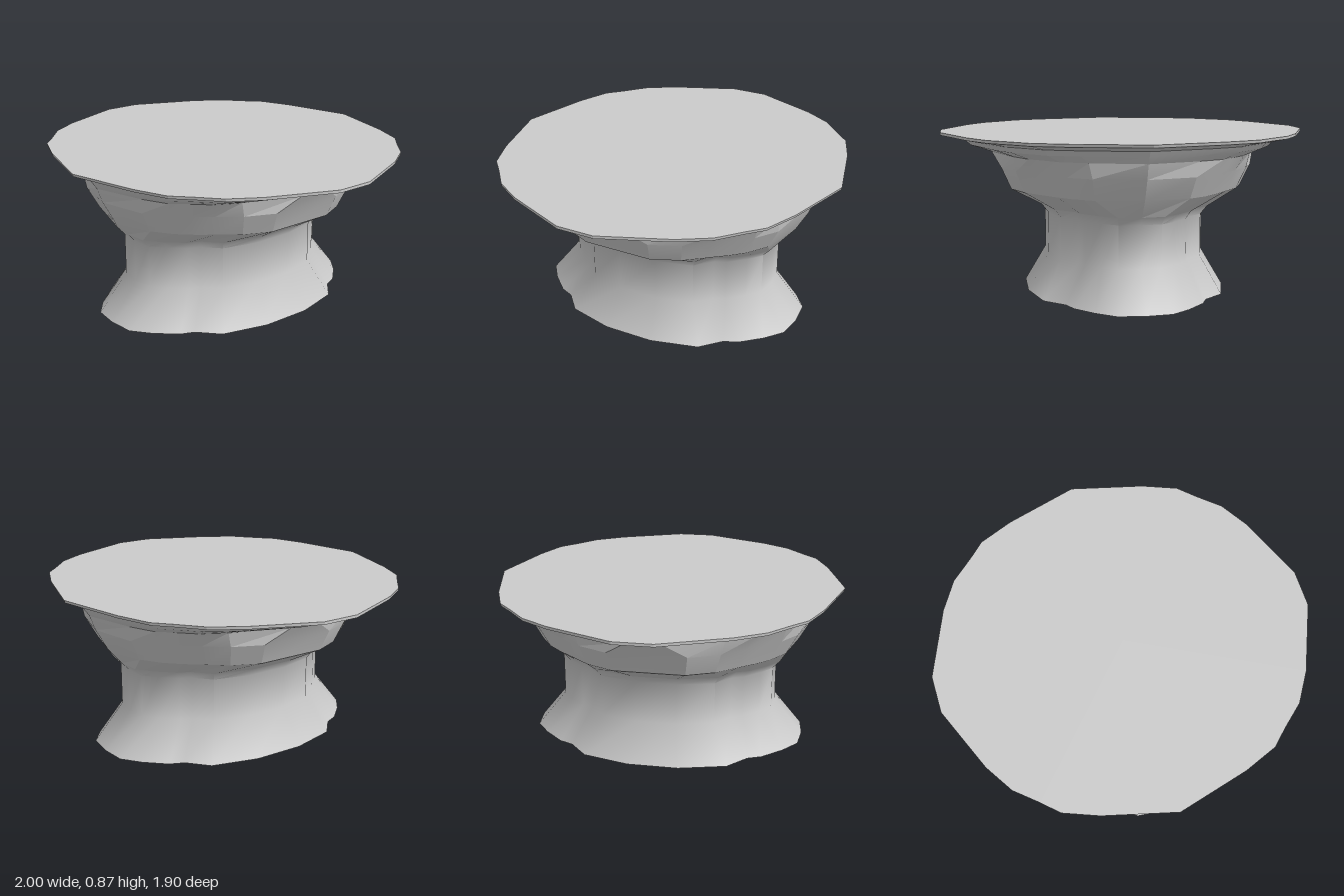
import * as THREE from 'three';
import { toCreasedNormals } from 'three/addons/utils/BufferGeometryUtils.js';

// Quarter outlines from the front (+z) round to the side (+x), as fractions of the half-widths
const NECK = [[0, 1], [0.26, 0.98], [0.44, 0.88], [0.62, 0.74], [0.68, 0.64], [0.88, 0.51], [1, 0.18]];
const BOWL = [[0, 1], [0.38, 0.92], [0.55, 0.82], [0.66, 0.72], [0.77, 0.6], [0.9, 0.46], [1, 0.26]];
const RIM = [[0, 1], [0.38, 0.895], [0.56, 0.82], [0.645, 0.735], [0.76, 0.63], [0.855, 0.47], [1, 0.105]];

// Mirror a quarter outline into a full loop at height y
function ring(outline, rx, rz, y) {
  const back = outline.map(([x, z]) => [x, -z]).reverse();
  const half = [...outline, ...back];
  const other = half.slice(1, -1).map(([x, z]) => [-x, z]).reverse();
  return [...half, ...other].map(([x, z]) => new THREE.Vector3(x * rx, y, z * rz));
}

// Skin a stack of loops, optionally closing the last one
function loft(rings, capTop, crease) {
  const n = rings[0].length;
  const points = rings.flat();
  const index = [];
  for (let r = 0; r < rings.length - 1; r++) {
    for (let i = 0; i < n; i++) {
      const a = r * n + i, b = r * n + (i + 1) % n;
      index.push(a, b, b + n, a, b + n, a + n);
    }
  }
  if (capTop) {
    const base = (rings.length - 1) * n;
    points.push(new THREE.Vector3(0, rings[rings.length - 1][0].y, 0));
    for (let i = 0; i < n; i++) index.push(points.length - 1, base + i, base + (i + 1) % n);
  }
  const geometry = new THREE.BufferGeometry().setFromPoints(points);
  geometry.setIndex(index);
  return toCreasedNormals(geometry, crease);
}

export function createModel() {
  const group = new THREE.Group();
  group.name = 'pedestalTable';
  const material = new THREE.MeshStandardMaterial({ color: 0xcccccc, side: THREE.DoubleSide });

  function add(name, rings, capTop, crease) {
    const mesh = new THREE.Mesh(loft(rings, capTop, crease), material);
    mesh.name = name;
    group.add(mesh);
  }

  // Flared foot and straight neck, open underneath
  add('pedestal', [
    ring(NECK, 0.545, 0.76, 0),
    ring(NECK, 0.43, 0.6, 0.2),
    ring(NECK, 0.43, 0.6, 0.43),
    ring(NECK, 0.465, 0.64, 0.475),
  ], false, 0.85);

  // Widening faceted bowl
  add('bowl', [
    ring(NECK, 0.465, 0.64, 0.475),
    ring(BOWL, 0.63, 0.72, 0.57),
    ring(BOWL, 0.68, 0.785, 0.685),
    ring(RIM, 0.73, 0.815, 0.765),
  ], false, 0.2);

  // Stepped rim with the flat top
  add('top', [
    ring(RIM, 0.73, 0.815, 0.765),
    ring(RIM, 0.84, 0.84, 0.8),
    ring(RIM, 0.87, 0.86, 0.83),
    ring(RIM, 1, 0.945, 0.855),
    ring(RIM, 1, 0.95, 0.87),
  ], true, 0.2);

  return group;
}
